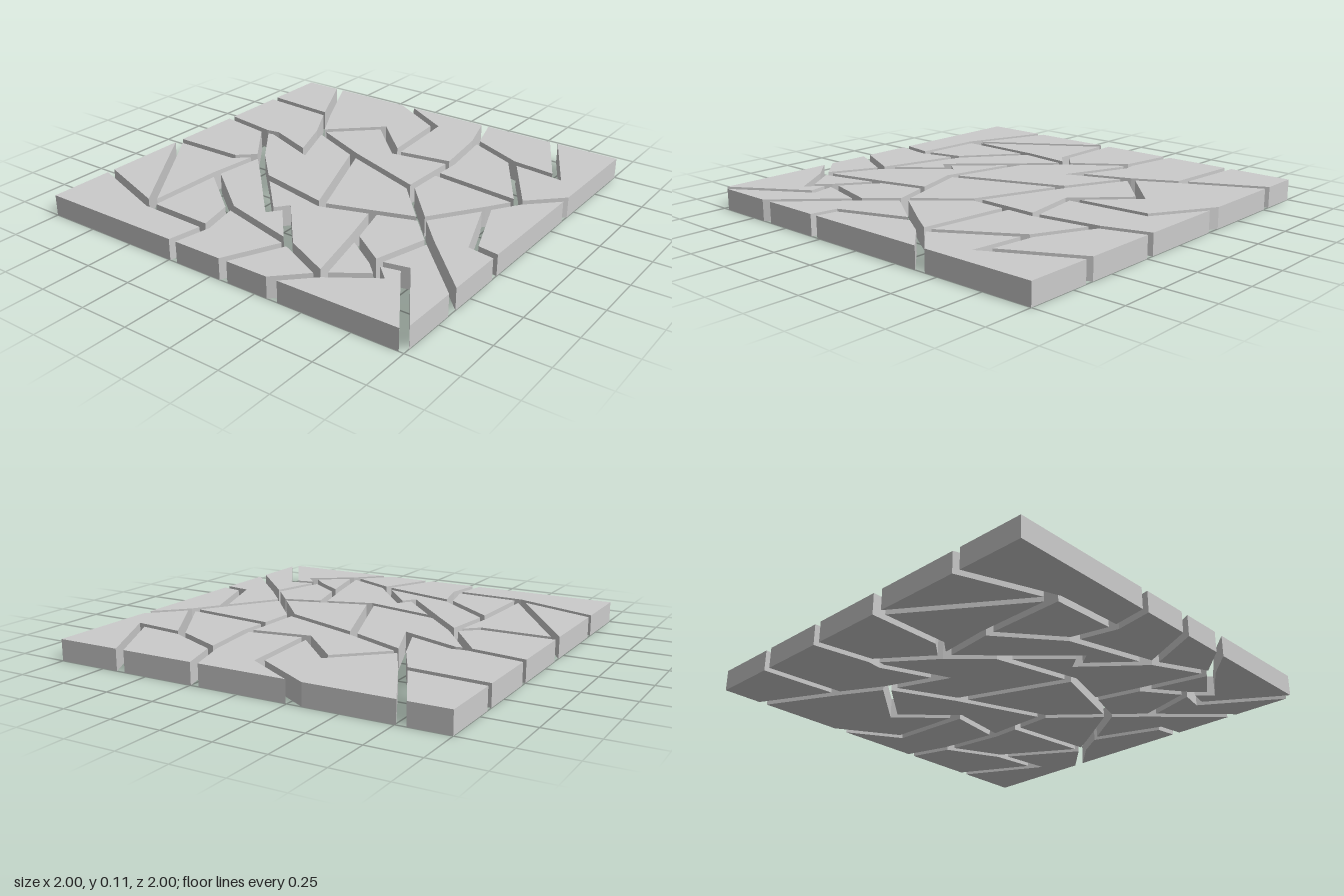
import * as THREE from 'three';

const HEIGHT = 0.106;
const HALF_GAP = 0.02;

// Crack junctions as [x, z]; c = slab corners, T/R/B/L = points on the back/right-hand/front/left-hand rims
const P = {
  c1: [-1, -1], c2: [1, -1], c3: [1, 1], c4: [-1, 1],
  T1: [-0.78, -1], T2: [-0.285, -1], T3: [0.225, -1], T4: [0.645, -1],
  R1: [1, -0.4], R2: [1, 0.29], R3: [1, 0.645],
  B1: [-0.222, 1], B2: [0.075, 1], B3: [0.345, 1],
  L1: [-1, -0.65], L2: [-1, -0.265], L3: [-1, 0.15], L4: [-1, 0.645],
  A: [-0.59, -0.62], B: [-0.47, -0.4], C: [-0.365, -0.12], D: [-0.715, -0.22],
  E: [-0.515, 0.05], F: [-0.335, 0.235], G: [0.21, 0.72], H: [0.49, 0.855],
  I: [-0.56, 0.803], J: [-0.19, 0.815], K: [0.34, -0.445], M: [0.33, -0.075],
  N: [0.835, -0.235], O: [0.555, 0.18], Q: [0.695, 0.335], S: [0.61, 0.64],
  U: [0.69, 0.72], V: [0.75, 0.61],
  a: [0, -0.83], b: [0.03, -0.395], c: [-0.215, -0.64], d: [0.295, -0.775],
  e: [0.85, -0.61], f: [0.585, -0.64], g: [0.335, -0.29], h: [-0.645, -0.23],
  j: [-0.13, -0.245], p: [0.745, -0.095], q: [0.88, 0.27], r: [0.34, 0.25],
  s: [0.09, 0.33], t: [-0.62, 0.145], u: [-0.55, 0.355], v: [-0.24, 0.6],
  w: [-0.07, 0.515], x: [-0.02, 0.45], y: [0.405, 0.495],
};

// Each stone is the loop of junctions around it
const STONES = [
  'c1 T1 A L1', 'T1 T2 a b c B A', 'T2 T3 d K b a', 'T3 T4 e f d', 'T4 c2 R1 N f e',
  'd f N g K', 'L1 A B C h D L2', 'c b K g M j B', 'g N p O M', 'N R1 R2 q p',
  'p q R2 R3 Q O', 'j M O r s', 'B j s F E D h C', 'L2 D E t L3', 'L3 t E u I',
  'L3 I L4', 'L4 I J B1 c4', 'u v J I', 'E F w x G v u', 'F s r y H G x w',
  'v G B2 B1 J', 'G H B3 B2', 'r O Q S y', 'y S U H', 'S V c3 B3 H U', 'Q R3 c3 V S',
];

// Shrinks a loop by half a crack on every edge that is not on the slab rim
function insetLoop(loop) {
  const pts = loop.map(([x, z]) => new THREE.Vector2(x, -z));
  if (THREE.ShapeUtils.area(pts) < 0) pts.reverse();
  const edges = pts.map((p, i) => {
    const q = pts[(i + 1) % pts.length];
    const dir = q.clone().sub(p).normalize();
    const onRim = ['x', 'y'].some((k) => p[k] === q[k] && Math.abs(p[k]) === 1);
    const normal = new THREE.Vector2(-dir.y, dir.x);
    return { dir, normal, start: p.clone().addScaledVector(normal, onRim ? 0 : HALF_GAP) };
  });
  // Meet each shifted edge with the one before it
  return edges.map((e, i) => {
    const prev = edges[(i + edges.length - 1) % edges.length];
    const cross = prev.dir.cross(e.dir);
    if (Math.abs(cross) < 1e-4) return e.start.clone();
    const along = e.start.clone().sub(prev.start).cross(e.dir) / cross;
    return prev.start.clone().addScaledVector(prev.dir, along);
  });
}

export function createModel() {
  const group = new THREE.Group();
  group.name = 'crackedPaving';
  const material = new THREE.MeshStandardMaterial({ color: 0xcccccc, flatShading: true });

  STONES.forEach((names, i) => {
    const outline = insetLoop(names.split(' ').map((n) => P[n]));
    const geometry = new THREE.ExtrudeGeometry(new THREE.Shape(outline), {
      depth: HEIGHT,
      bevelEnabled: false,
    });
    geometry.rotateX(-Math.PI / 2); // lay flat, thickness along +y
    const stone = new THREE.Mesh(geometry, material);
    stone.name = `stone${i + 1}`;
    group.add(stone);
  });
  return group;
}
